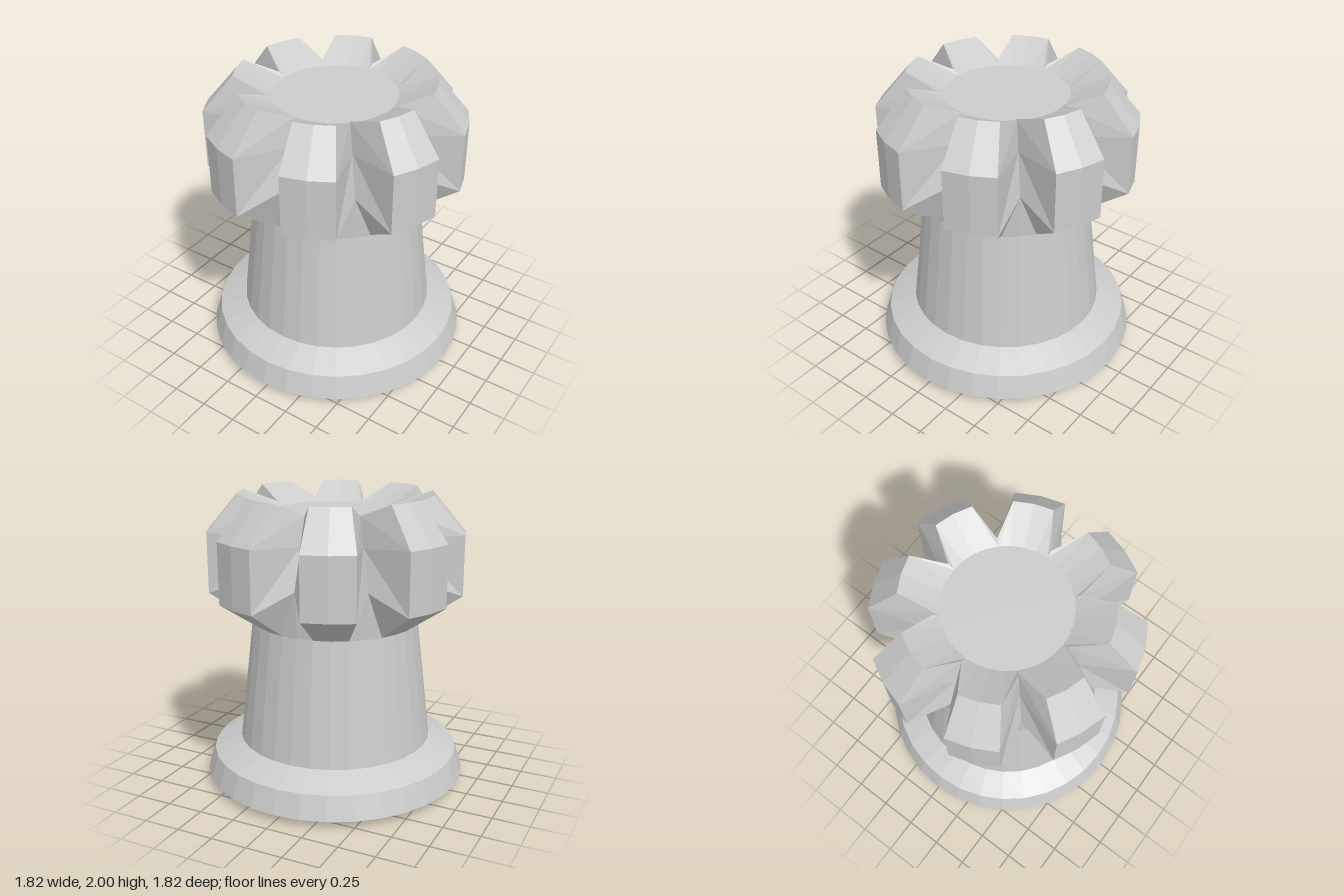
import * as THREE from 'three';

const SIDES = 32;
const material = new THREE.MeshStandardMaterial({ color: 0xcccccc, flatShading: true });

// Revolved part from [radius, height] pairs
function lathe(name, profile) {
  const points = profile.map(([r, y]) => new THREE.Vector2(r, y));
  const mesh = new THREE.Mesh(new THREE.LatheGeometry(points, SIDES), material);
  mesh.name = name;
  return mesh;
}

// Crown: a ring of columns, every fourth one pulled inward to cut a V notch
function crownGeometry() {
  const tooth = [[0.575, 1.14], [0.865, 1.34], [0.865, 1.75], [0.655, 2], [0.41, 1.88], [0, 1.88]];
  const notch = [[0.575, 1.14], [0.6, 1.45], [0.51, 1.72], [0.45, 1.91], [0.41, 1.88], [0, 1.88]];
  const rings = tooth.length;
  const positions = [];
  const indices = [];

  for (let i = 0; i < SIDES; i++) {
    const angle = (i / SIDES) * Math.PI * 2;
    for (const [r, y] of i % 4 === 0 ? notch : tooth) {
      positions.push(r * Math.sin(angle), y, r * Math.cos(angle));
    }
  }
  for (let i = 0; i < SIDES; i++) {
    const next = (i + 1) % SIDES;
    for (let j = 0; j < rings - 1; j++) {
      const a = i * rings + j, b = next * rings + j;
      const c = b + 1, d = a + 1;
      // the floor closes in a fan
      if (j === rings - 2) indices.push(a, b, d);
      // mirror the diagonals about each notch
      else if (i % 4 === 0) indices.push(a, b, d, b, c, d);
      else indices.push(a, b, c, a, c, d);
    }
  }
  const geometry = new THREE.BufferGeometry();
  geometry.setAttribute('position', new THREE.Float32BufferAttribute(positions, 3));
  geometry.setIndex(indices);
  geometry.computeVertexNormals();
  return geometry;
}

export function createModel() {
  const model = new THREE.Group();
  model.name = 'castlePiece';

  // Flared foot with a conical hollow underneath
  model.add(lathe('base', [[0, 0.38], [0.41, 0.38], [0.76, 0], [0.91, 0.05], [0.86, 0.21], [0.67, 0.295]]));

  // Tapered column
  model.add(lathe('body', [[0.67, 0.295], [0.57, 1.14]]));

  // Notched head with a sunken round floor
  const crown = new THREE.Mesh(crownGeometry(), material);
  crown.name = 'crown';
  crown.position.x = -0.008;
  model.add(crown);

  return model;
}
